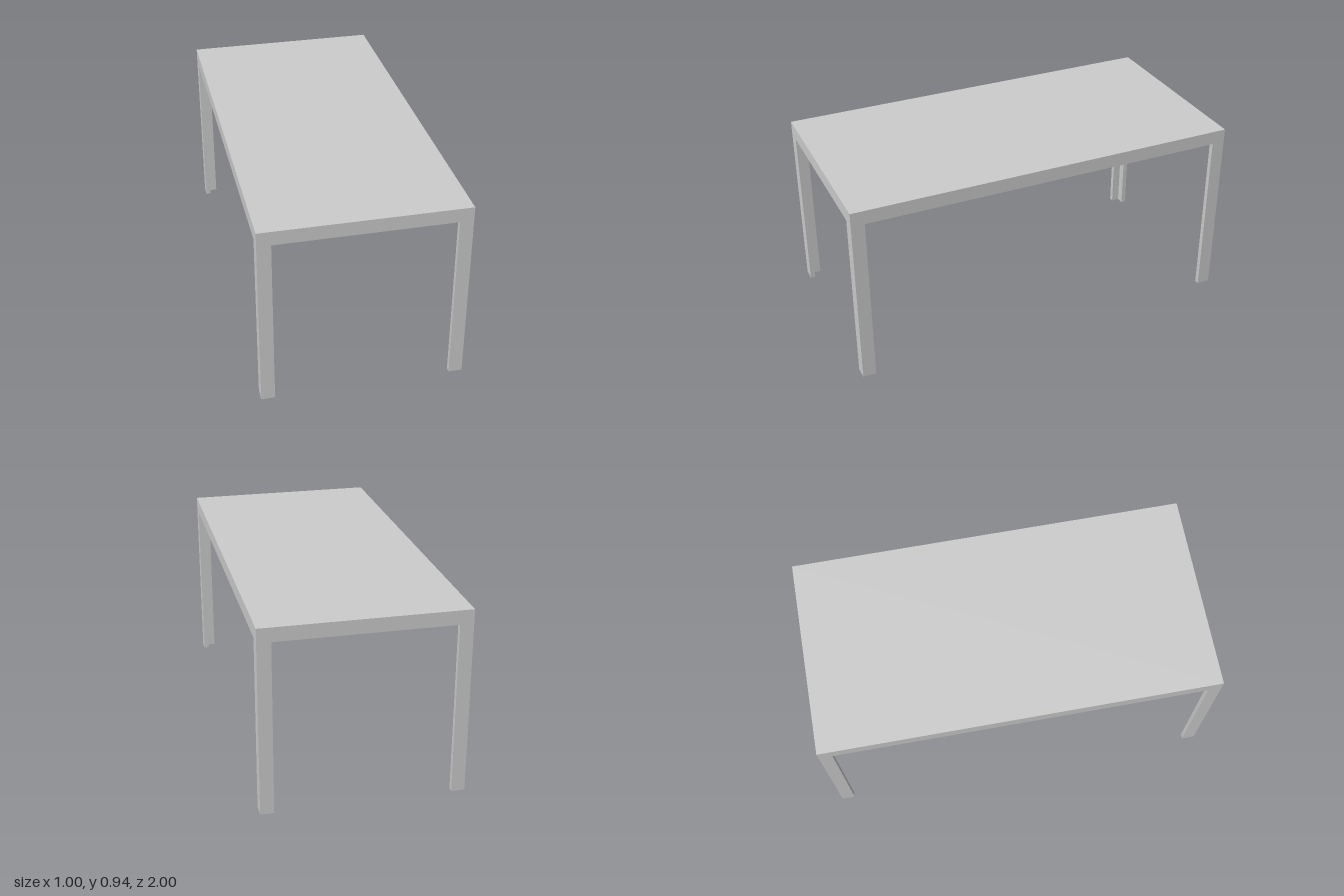
import * as THREE from 'three';

const HX = 0.5, HZ = 1;          // half width and half length
const H = 0.94, RAIL = 0.87;     // table height and underside of the rails
const LEG = 0.067, T = 0.025;    // leg size and sheet thickness

const material = new THREE.MeshStandardMaterial({ color: 0xcccccc });

// Extrude a plan outline of [x, z] points upward from y0 to y1.
function slab(name, points, y0, y1, hole) {
  const toPoints = (list) => list.map(([x, z]) => new THREE.Vector2(x, -z));
  const shape = new THREE.Shape(toPoints(points));
  if (hole) shape.holes.push(new THREE.Path(toPoints(hole)));
  const geometry = new THREE.ExtrudeGeometry(shape, { depth: y1 - y0, bevelEnabled: false });
  geometry.rotateX(-Math.PI / 2);
  geometry.translate(0, y0, 0);
  const mesh = new THREE.Mesh(geometry, material);
  mesh.name = name;
  return mesh;
}

const rect = (x, z) => [[-x, -z], [x, -z], [x, z], [-x, z]];

export function createModel() {
  const table = new THREE.Group();
  table.name = 'table';

  // Top sheet and the rail that runs around below its edge
  table.add(slab('tableTop', rect(HX, HZ), H - T, H));
  table.add(slab('edgeRail', rect(HX, HZ), RAIL, H - T, rect(HX - T, HZ - T)));

  // Stiffening beam along the middle of the underside
  table.add(slab('centreBeam', rect(0.02, HZ - T), RAIL + 0.012, H - T));

  // Angle-section legs and corner gussets, mirrored to all four corners.
  // Outlines are measured inward from the outer corner.
  const legOutline = [[0, 0], [LEG, 0], [LEG, T], [T, T], [T, LEG], [0, LEG]];
  const gussetOutline = [[T, T], [0.25, T], [0.25, 0.045], [0.045, 0.25], [T, 0.25]];
  for (const sx of [-1, 1]) {
    for (const sz of [-1, 1]) {
      const place = (outline) => outline.map(([u, v]) => [sx * (HX - u), sz * (HZ - v)]);
      const corner = (sz > 0 ? 'front' : 'back') + (sx > 0 ? 'Left' : 'Right');
      table.add(slab(corner + 'Leg', place(legOutline), 0, RAIL));
      table.add(slab(corner + 'Gusset', place(gussetOutline), RAIL + 0.015, RAIL + 0.03));
    }
  }
  return table;
}
